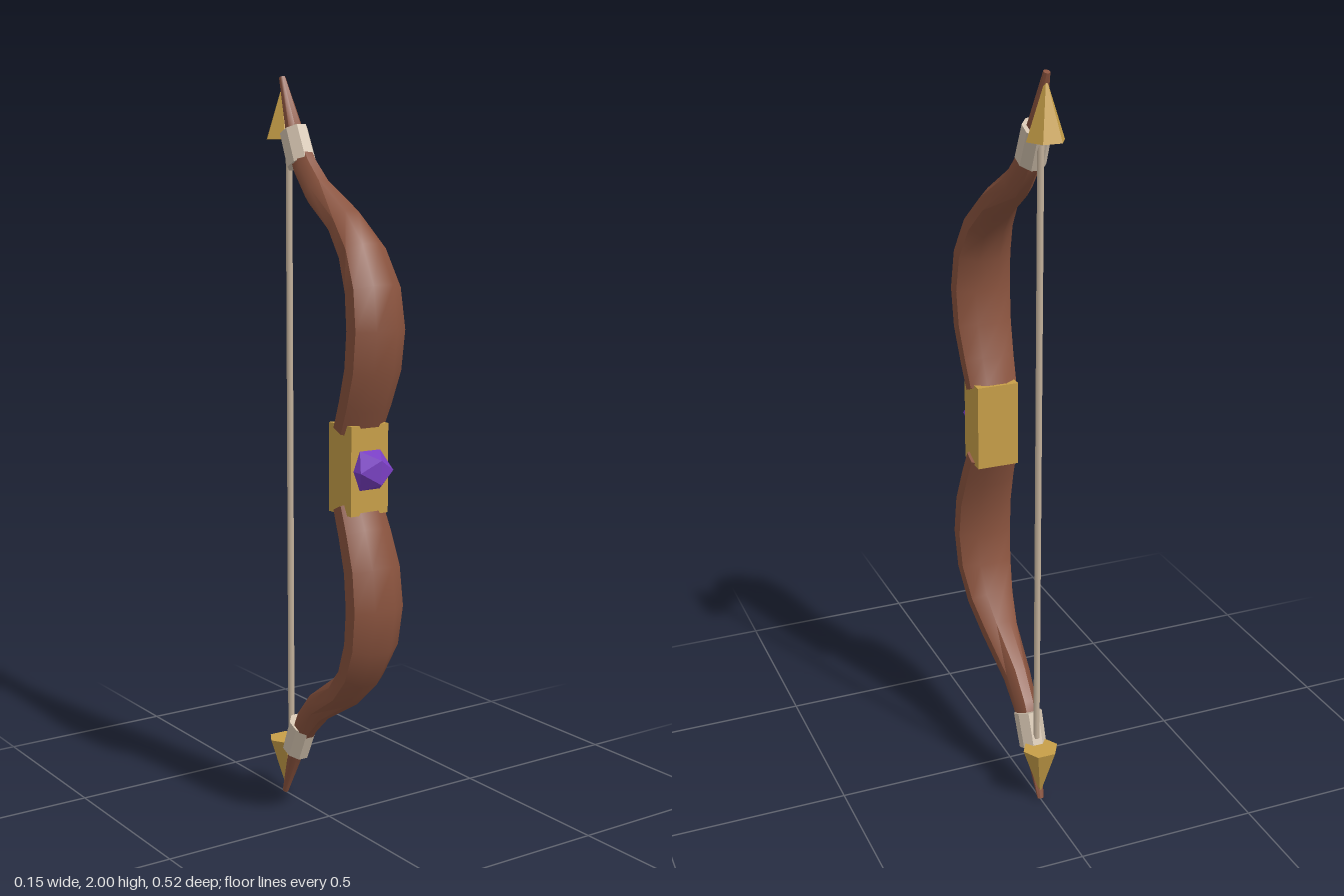
import * as THREE from 'three';
import { toCreasedNormals } from 'three/addons/utils/BufferGeometryUtils.js';

const material = (name, color, flatShading = false) => {
  const m = new THREE.MeshStandardMaterial({ color, flatShading });
  m.name = name;
  return m;
};

// Limb stations: height above the grip centre, z, half width, half thickness
const STATIONS = [
  [0.10, 0.132, 0.066, 0.043],
  [0.17, 0.163, 0.070, 0.045],
  [0.26, 0.196, 0.075, 0.047],
  [0.36, 0.208, 0.077, 0.048],
  [0.46, 0.194, 0.073, 0.047],
  [0.55, 0.148, 0.062, 0.045],
  [0.62, 0.077, 0.048, 0.042],
  [0.70, -0.050, 0.035, 0.038],
  [0.76, -0.108, 0.030, 0.035],
  [0.81, -0.140, 0.027, 0.031],
  [0.87, -0.168, 0.021, 0.020],
  [0.998, -0.222, 0.008, 0.008],
];

// Octagonal sections swept along the stations, closed at both ends
function limbGeometry() {
  const sides = 8, pos = [], index = [], last = STATIONS.length - 1;
  const grow = 1 / Math.cos(Math.PI / sides);
  STATIONS.forEach(([y, z, w, t], i) => {
    const a = STATIONS[Math.max(i - 1, 0)], b = STATIONS[Math.min(i + 1, last)];
    const len = Math.hypot(b[0] - a[0], b[1] - a[1]);
    const ty = (b[0] - a[0]) / len, tz = (b[1] - a[1]) / len;
    for (let j = 0; j < sides; j++) {
      const angle = ((j + 0.5) / sides) * Math.PI * 2;
      const n = Math.sin(angle) * t * grow;
      pos.push(Math.cos(angle) * w * grow, y - tz * n, z + ty * n);
    }
  });
  for (let i = 0; i < last; i++) {
    for (let j = 0; j < sides; j++) {
      const p = i * sides + j, q = i * sides + ((j + 1) % sides);
      index.push(p, p + sides, q, q, p + sides, q + sides);
    }
  }
  const top = last * sides;
  for (let j = 1; j < sides - 1; j++) {
    index.push(0, j, j + 1, top, top + j + 1, top + j);
  }
  const g = new THREE.BufferGeometry();
  g.setAttribute('position', new THREE.Float32BufferAttribute(pos, 3));
  g.setIndex(index);
  return toCreasedNormals(g, 0.8);
}

export function createModel() {
  const wood = material('wood', 0x8a533e);
  const gold = material('gold', 0xc79f48, true);
  const cloth = material('cloth', 0xd2c2ae, true);
  const purple = material('purple', 0x7a3fc4, true);
  const cord = material('cord', 0xc4b29c);

  const model = new THREE.Group();
  model.name = 'bow';
  const add = (parent, name, geometry, mat, x, y, z) => {
    const mesh = new THREE.Mesh(geometry, mat);
    mesh.name = name;
    mesh.position.set(x, y, z);
    parent.add(mesh);
    return mesh;
  };

  // Grip and gem
  add(model, 'grip', new THREE.BoxGeometry(0.116, 0.234, 0.1), gold, 0, 1, 0.134);
  add(model, 'gem', new THREE.IcosahedronGeometry(0.06), purple, 0, 1, 0.185);

  // Bowstring
  add(model, 'bowstring', new THREE.CylinderGeometry(0.009, 0.009, 1.64, 8), cord, 0, 1, -0.19);

  // Two matching halves, the lower one turned upside down
  const limb = limbGeometry();
  const wrap = new THREE.CylinderGeometry(0.044, 0.046, 0.095, 8).rotateY(Math.PI / 8);
  const tip = new THREE.ConeGeometry(0.05, 0.148, 6).rotateY(Math.PI / 6);
  for (const side of ['upper', 'lower']) {
    const half = new THREE.Group();
    half.name = side + 'Half';
    half.position.y = 1;
    if (side === 'lower') half.rotation.z = Math.PI;
    add(half, side + 'Limb', limb, wood, 0, 0, 0);
    const band = add(half, side + 'Wrap', wrap, cloth, 0, 0.815, -0.148);
    band.rotation.x = -0.42;
    band.scale.x = 0.82;
    add(half, side + 'Tip', tip, gold, 0, 0.911, -0.218);
    model.add(half);
  }
  return model;
}
